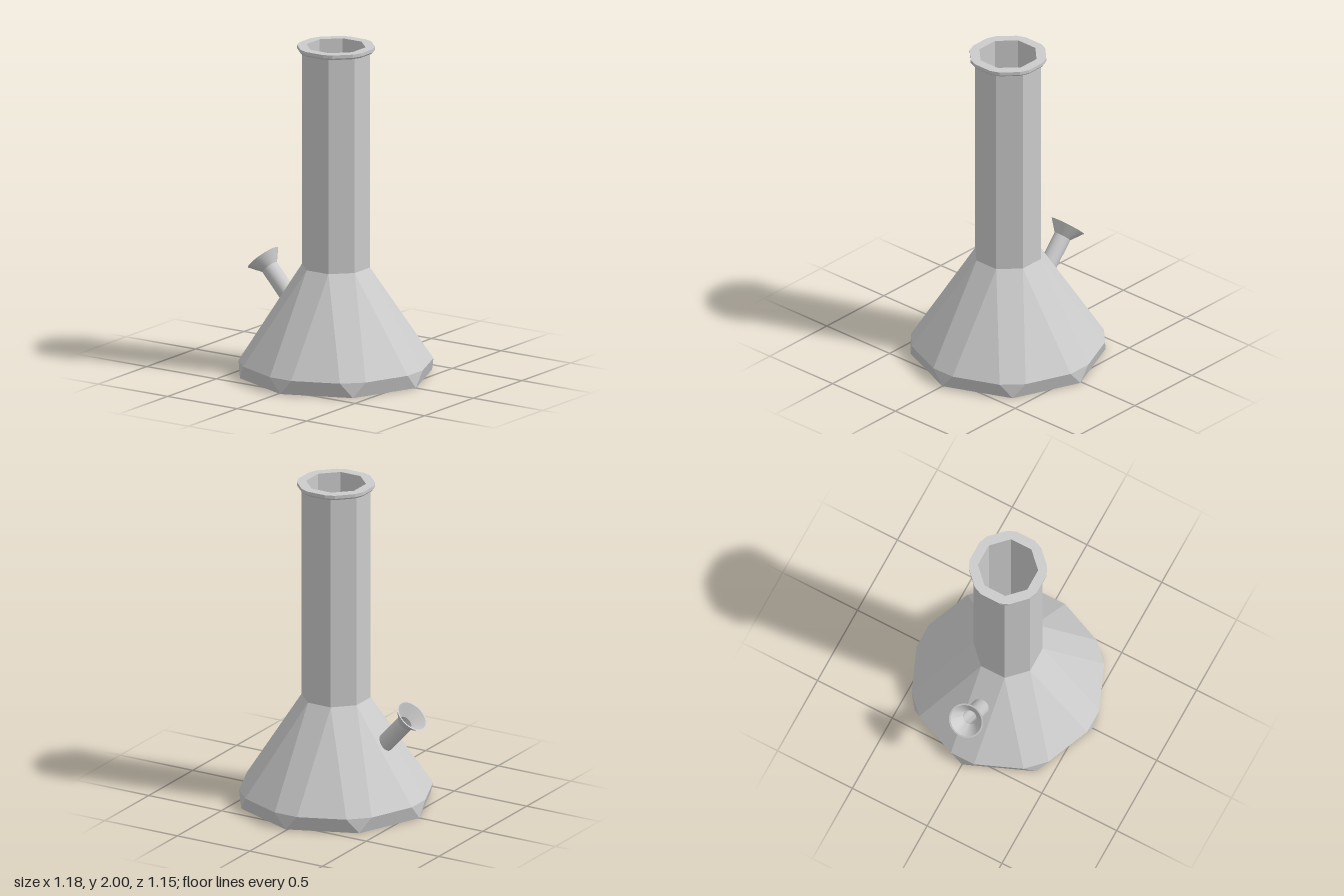
import * as THREE from 'three';
import { toCreasedNormals } from 'three/addons/utils/BufferGeometryUtils.js';

const AXIS_X = 0.012;
const T = Math.tan(Math.PI / 8); // half width of an octagon's side per unit of apothem

// Ring of 16 points: a pair of corners, 2 * half apart, in each of 8 directions.
// half = 0 or apothem * T collapses it to a plain octagon.
function ring([y, apothem, half]) {
  const points = [];
  for (let k = 0; k < 8; k++) {
    const a = k * Math.PI / 4, c = Math.cos(a), s = Math.sin(a);
    for (const h of [-half, half]) {
      points.push(new THREE.Vector3(apothem * c - h * s, y, -(apothem * s + h * c)));
    }
  }
  return points;
}

// Faceted surface through successive rings, skipping collapsed triangles
function loft(profile) {
  const rings = profile.map(ring);
  const positions = [];
  const tri = new THREE.Triangle();
  const add = (a, b, c) => {
    if (tri.set(a, b, c).getArea() > 1e-7) {
      for (const p of [a, b, c]) positions.push(p.x, p.y, p.z);
    }
  };
  for (let r = 0; r < rings.length - 1; r++) {
    const low = rings[r], high = rings[r + 1];
    for (let i = 0; i < 16; i++) {
      const j = (i + 1) % 16;
      add(low[i], low[j], high[j]);
      add(low[i], high[j], high[i]);
    }
  }
  const geometry = new THREE.BufferGeometry();
  geometry.setAttribute('position', new THREE.Float32BufferAttribute(positions, 3));
  geometry.computeVertexNormals();
  return geometry;
}

const octagon = (y, apothem) => [y, apothem, apothem * T];

export function createModel() {
  const model = new THREE.Group();
  const faceted = new THREE.MeshStandardMaterial({ color: 0xcccccc, flatShading: true });
  const smooth = new THREE.MeshStandardMaterial({ color: 0xcccccc });

  const addPart = (name, geometry, material) => {
    const mesh = new THREE.Mesh(geometry, material);
    mesh.name = name;
    mesh.position.x = AXIS_X;
    model.add(mesh);
    return mesh;
  };

  // Flask base: octagonal foot, chamfered corners, sloped shoulders
  addPart('flaskBase', loft([
    [0, 0, 0], [0, 0.575, 0], [0.09, 0.57, 0.077], octagon(0.66, 0.19),
  ]), faceted);

  // Straight octagonal neck
  addPart('neck', loft([octagon(0.66, 0.19), octagon(1.97, 0.19)]), faceted);

  // Flat mouth rim
  addPart('mouthRim', loft([
    octagon(1.97, 0.19), [1.97, 0.215, 0.058], [1.98, 0.223, 0.061],
    [2, 0.223, 0.061], octagon(2, 0.165),
  ]), faceted);

  // Inner wall down to the floor of the flask
  addPart('innerWall', loft([
    octagon(2, 0.165), octagon(0.65, 0.165), [0.1, 0.53, 0.077], [0.03, 0.53, 0], [0.03, 0, 0],
  ]), faceted);

  // Slanted stem with a funnel-shaped bowl, hollow through its length
  const profile = [
    [0, -0.24], [0.052, -0.24], [0.052, 0], [0.107, 0.07],
    [0.097, 0.07], [0.042, 0.002], [0.042, -0.2], [0, -0.2],
  ].map(([r, y]) => new THREE.Vector2(r, y));
  const stem = addPart('stemAndBowl',
    toCreasedNormals(new THREE.LatheGeometry(profile, 32), 0.5), smooth);
  stem.position.set(-0.466, 0.58, 0);
  stem.rotation.z = Math.atan2(0.67, 0.74);

  return model;
}
